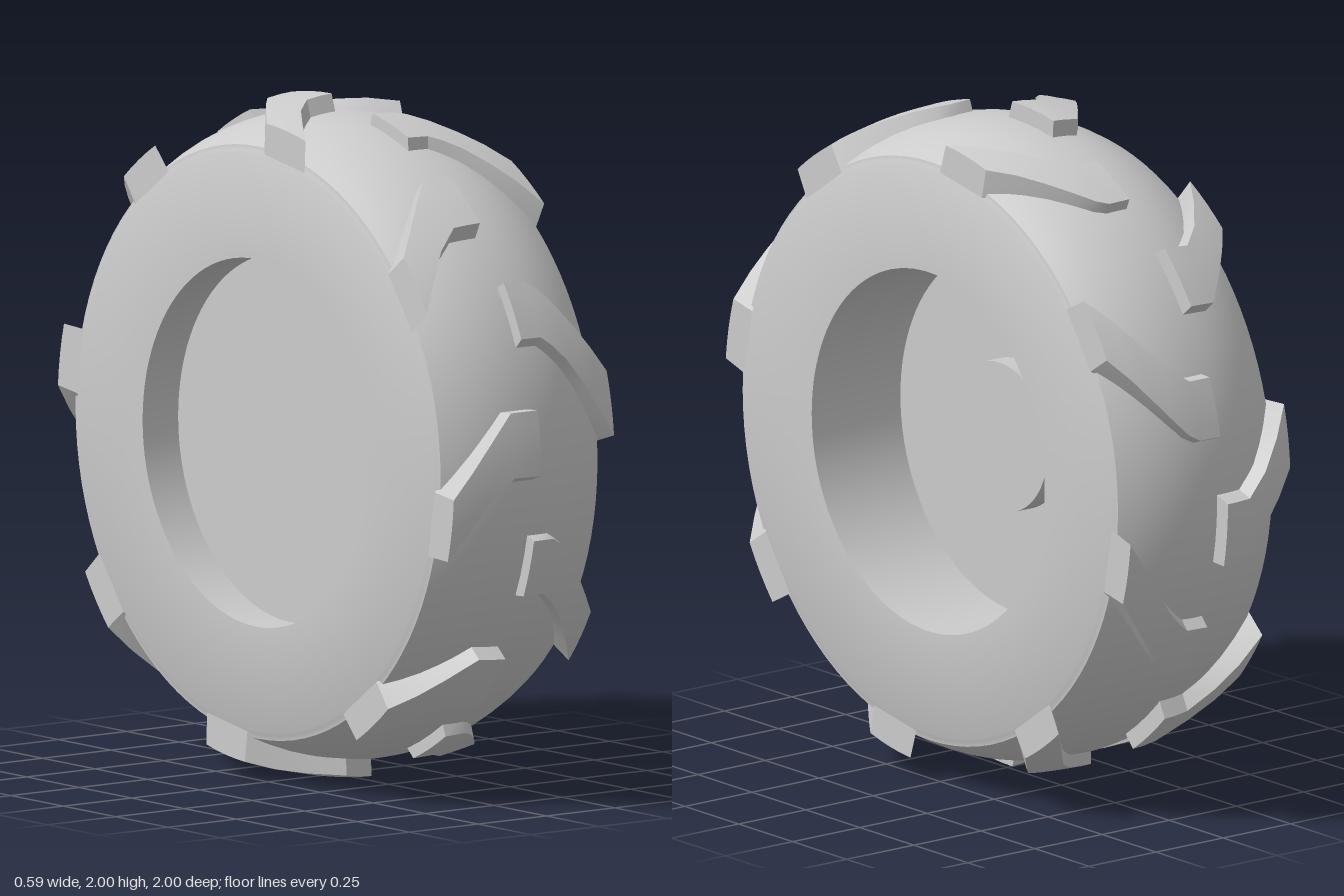
import * as THREE from 'three';
import { toCreasedNormals } from 'three/addons/utils/BufferGeometryUtils.js';

const HALF = 0.295;        // half width of the wheel
const LUGS = 8;            // tread lugs on each side
const DEG = Math.PI / 180;
const material = new THREE.MeshStandardMaterial({ color: 0xcccccc });

// Radius of the barrel-shaped tyre surface at a given x
const bodyRadius = (x) => 0.95 - 0.085 * Math.pow(Math.abs(x) / HALF, 2.2);

// Stations of a lug from the centre line to the edge: [x, low angle, high angle, top radius]
const leftLug = [
  [-0.018, 0.8, 11, 0.985], [0.055, 0.8, 11, 0.982], [0.09, -0.8, 9.8, 0.98], [0.135, -3.5, 6.8, 0.975],
  [0.19, -8, 2.6, 0.966], [0.24, -12.5, -1.5, 0.957], [HALF, -17.5, -6, 0.942],
];
const rightLug = [
  [-0.018, 0, 11, 1], [-0.06, 0, 11, 0.997], [-0.108, 0, 11, 0.99],
  [-0.18, -3.8, 6, 0.975], [-0.24, -9, 1.4, 0.962], [-HALF, -14.5, -3.2, 0.945],
];

// Solid raised bar swept across the tread through its stations
function lugGeometry(stations, side) {
  const STEPS = 4, BEVEL = 1.3;
  const rings = stations.map(([x, lo, hi, top]) => {
    const point = (deg, r) => [x, r * Math.sin(deg * DEG), r * Math.cos(deg * DEG)];
    const base = bodyRadius(x) - 0.012;
    const ring = [point(lo - BEVEL, base)];
    for (let i = 0; i <= STEPS; i++) ring.push(point(lo + (hi - lo) * i / STEPS, top));
    ring.push(point(hi + 0.5, base));
    return ring;
  });
  const pos = [];
  const tri = (a, b, c) => (side > 0 ? pos.push(...a, ...b, ...c) : pos.push(...a, ...c, ...b));
  const count = rings[0].length;
  for (let i = 0; i < rings.length - 1; i++) {
    for (let j = 0; j < count - 1; j++) {
      const a = rings[i][j], b = rings[i][j + 1], c = rings[i + 1][j + 1], d = rings[i + 1][j];
      tri(a, d, c);
      tri(a, c, b);
    }
  }
  // End caps
  const inner = rings[0], outer = rings[rings.length - 1];
  for (let j = 1; j < count - 1; j++) {
    tri(inner[0], inner[j], inner[j + 1]);
    tri(outer[0], outer[j + 1], outer[j]);
  }
  const geometry = new THREE.BufferGeometry();
  geometry.setAttribute('position', new THREE.Float32BufferAttribute(pos, 3));
  return toCreasedNormals(geometry, 32 * DEG);
}

export function createModel() {
  const group = new THREE.Group();
  group.name = 'tractorWheel';
  const wheel = new THREE.Group();
  wheel.name = 'wheel';
  wheel.position.y = 1;
  group.add(wheel);

  const add = (name, geometry, parent = wheel) => {
    const mesh = new THREE.Mesh(geometry, material);
    mesh.name = name;
    parent.add(mesh);
    return mesh;
  };

  // Tyre and rim: shallow recess on one face, deep recess on the other
  const profile = [[0, -0.165], [0.54, -0.165], [0.54, -HALF], [0.845, -HALF], [0.856, -HALF + 0.006]];
  for (let i = 0; i <= 16; i++) {
    const x = (HALF - 0.008) * (i / 8 - 1);
    profile.push([bodyRadius(x), x]);
  }
  profile.push([0.856, HALF - 0.006], [0.845, HALF], [0.54, HALF], [0.54, -0.035], [0, -0.035]);
  const tyre = new THREE.LatheGeometry(profile.map(([r, x]) => new THREE.Vector2(r, x)), 96);
  tyre.rotateZ(-Math.PI / 2);
  add('tyreAndRim', toCreasedNormals(tyre, 35 * DEG));

  // Hub disc on the floor of the deep recess
  const hub = new THREE.CylinderGeometry(0.223, 0.223, 0.08, 64);
  hub.rotateZ(-Math.PI / 2);
  add('hub', hub).position.x = -0.01;

  // Two staggered rows of tread lugs
  for (const [name, stations, side, offset] of [
    ['leftTread', leftLug, 1, 22.5],
    ['rightTread', rightLug, -1, 0],
  ]) {
    const row = new THREE.Group();
    row.name = name;
    wheel.add(row);
    const geometry = lugGeometry(stations, side);
    for (let k = 0; k < LUGS; k++) {
      add('treadLug', geometry, row).rotation.x = -(offset + k * 360 / LUGS) * DEG;
    }
  }
  return group;
}
